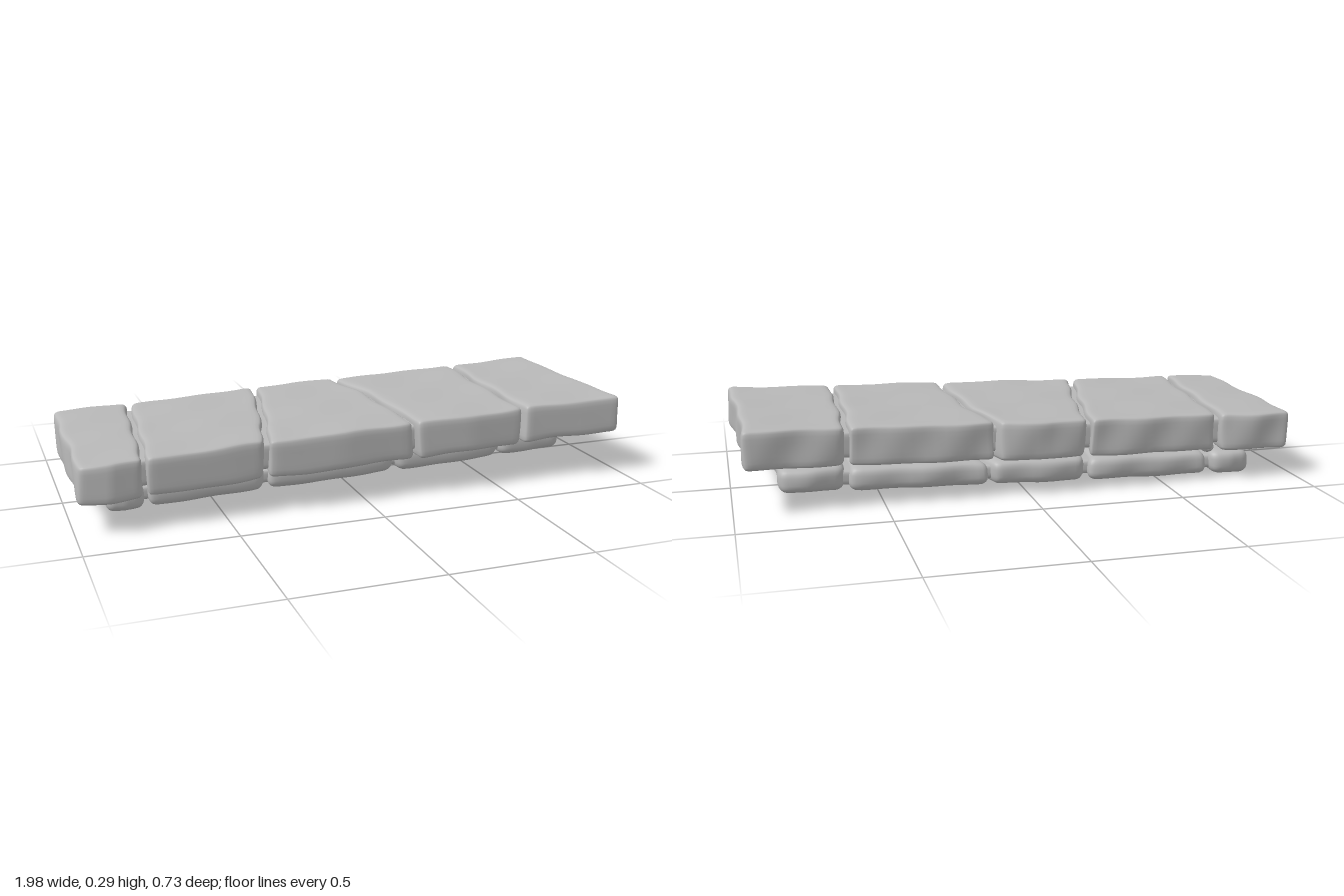
import * as THREE from 'three';
import { mergeVertices } from 'three/addons/utils/BufferGeometryUtils.js';

const SLOPE = 0.0275; // the whole path rises gently towards +x
const { lerp, clamp } = THREE.MathUtils;

// Piecewise-linear seam: x values evenly spaced from back to front
function seamX(seam, t) {
  const f = clamp(t, 0, 1) * (seam.length - 1);
  const i = Math.min(Math.floor(f), seam.length - 2);
  return lerp(seam[i], seam[i + 1], f - i);
}

// Rounded stone whose sides follow two seams and whose ends follow back/front edges
function stoneGeometry(left, right, back, front, yMid, height, radius, gap) {
  const mid = s => seamX(s, 0.5);
  const half = new THREE.Vector3((mid(right) - mid(left)) / 2 - gap, height / 2, (front[0] - back[0]) / 2);
  const inner = half.clone().subScalar(radius);
  const geometry = new THREE.BoxGeometry(2, 2, 2, 20, 10, 28);
  geometry.deleteAttribute('uv');
  geometry.deleteAttribute('normal');
  const merged = mergeVertices(geometry);
  const pos = merged.attributes.position;
  const p = new THREE.Vector3(), core = new THREE.Vector3();
  const ease = u => Math.sin(u * Math.PI / 2);
  for (let i = 0; i < pos.count; i++) {
    // rounded box
    p.fromBufferAttribute(pos, i);
    p.set(ease(p.x), ease(p.y), ease(p.z)).multiply(half);
    core.copy(p).clamp(inner.clone().negate(), inner);
    p.sub(core).setLength(radius).add(core);
    // fit between seams and edges
    const u = p.x / half.x / 2 + 0.5, t = p.z / half.z / 2 + 0.5;
    let x = lerp(seamX(left, t) + gap, seamX(right, t) - gap, u);
    let z = lerp(seamX(back, u), seamX(front, u), t);
    let y = yMid + SLOPE * x + p.y;
    // gentle hand-hewn waviness
    const a = Math.sin(x * 17 + z * 9 + y * 11), b = Math.sin(z * 23 - x * 8 + y * 19);
    x += 0.004 * b;
    y += 0.0025 * a * Math.sin(z * 13 + 1);
    z += 0.004 * Math.sin(x * 29 + y * 17) + 0.002 * a;
    pos.setXYZ(i, x, y, z);
  }
  merged.computeVertexNormals();
  return merged;
}

export function createModel() {
  const group = new THREE.Group();
  const stone = new THREE.MeshStandardMaterial({ color: 0xb8b8b8 });
  stone.name = 'grey stone';
  const add = (name, parent, ...args) => {
    const mesh = new THREE.Mesh(stoneGeometry(...args), stone);
    mesh.name = name;
    parent.add(mesh);
  };

  // Each layer: seams run back to front, edges run left to right
  const layers = [
    {
      name: 'upperSlab', yMid: 0.2, height: 0.137, radius: 0.02, gap: 0.008,
      seams: [
        [-0.98, -0.992, -0.985, -0.992], [-0.70, -0.725, -0.745, -0.768],
        [-0.205, -0.25, -0.30, -0.362], [0.11, 0.158, 0.17, 0.183],
        [0.627, 0.61, 0.605, 0.598], [0.968, 0.968, 0.98, 0.998],
      ],
      backs: [[-0.347, -0.353, -0.343], [-0.333, -0.342, -0.358], [-0.345, -0.365, -0.354],
        [-0.342, -0.346, -0.342], [-0.332, -0.343, -0.357]],
      fronts: [[0.338, 0.357, 0.35], [0.345, 0.338, 0.328], [0.336, 0.346, 0.332],
        [0.342, 0.35, 0.336], [0.338, 0.344, 0.354]],
      core: { left: -0.93, right: 0.93, back: -0.315, front: 0.30, height: 0.09 },
    },
    {
      name: 'lowerSlab', yMid: 0.0715, height: 0.085, radius: 0.032, gap: 0.006,
      seams: [
        [-0.86, -0.872, -0.876], [-0.69, -0.71, -0.735], [-0.22, -0.26, -0.315],
        [0.12, 0.16, 0.182], [0.622, 0.61, 0.60], [0.85, 0.856, 0.868],
      ],
      backs: [[-0.295, -0.30, -0.29], [-0.288, -0.298, -0.302], [-0.295, -0.305, -0.297],
        [-0.292, -0.298, -0.29], [-0.28, -0.29, -0.287]],
      fronts: [[0.165, 0.175, 0.17], [0.172, 0.168, 0.16], [0.166, 0.174, 0.163],
        [0.17, 0.175, 0.165], [0.16, 0.166, 0.162]],
      core: { left: -0.82, right: 0.81, back: -0.265, front: 0.135, height: 0.05 },
    },
  ];

  for (const l of layers) {
    const row = new THREE.Group();
    row.name = l.name + 'Row';
    group.add(row);
    l.backs.forEach((back, i) => add(l.name + (i + 1), row,
      l.seams[i], l.seams[i + 1], back, l.fronts[i], l.yMid, l.height, l.radius, l.gap));
    // inset bed that closes the joints
    const c = l.core;
    add(l.name + 'Bed', row, [c.left, c.left], [c.right, c.right],
      [c.back, c.back], [c.front, c.front], l.yMid, c.height, 0.015, 0);
  }

  // Small spacer stones between the two layers
  const spacers = new THREE.Group();
  spacers.name = 'spacerStones';
  group.add(spacers);
  const spots = [[-0.76, 0.08], [-0.67, 0.12], [-0.4, -0.2], [0.03, 0.12], [0.05, -0.24],
    [0.3, 0.1], [0.5, -0.22], [0.72, 0.1], [0.74, -0.22], [-0.7, -0.24]];
  const pebble = new THREE.SphereGeometry(1, 12, 8).scale(0.025, 0.02, 0.03);
  spots.forEach(([x, z], i) => {
    const mesh = new THREE.Mesh(pebble, stone);
    mesh.name = 'spacerStone' + (i + 1);
    mesh.position.set(x, 0.123 + SLOPE * x, z);
    spacers.add(mesh);
  });
  return group;
}
